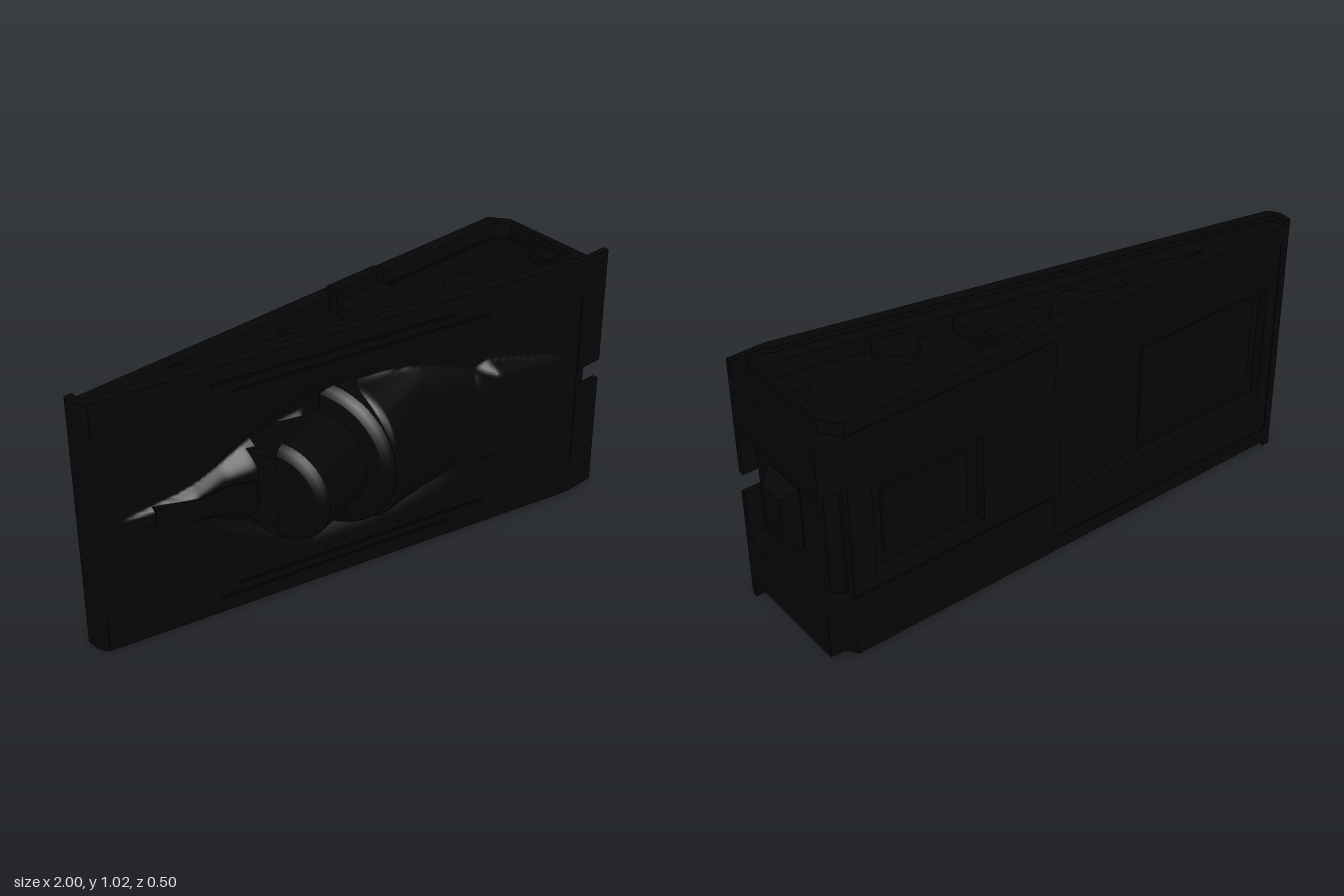
import * as THREE from 'three';

const MID = 0.5125; // height of the mirror plane

export function createModel() {
  const model = new THREE.Group();
  const black = new THREE.MeshStandardMaterial({ color: 0x050505 });
  black.name = 'matt black';

  const add = (name, geometry) => {
    const mesh = new THREE.Mesh(geometry, black);
    mesh.name = name;
    model.add(mesh);
    return mesh;
  };
  const box = (name, x0, x1, y0, y1, z0, z1) =>
    add(name, new THREE.BoxGeometry(x1 - x0, y1 - y0, z1 - z0)
      .translate((x0 + x1) / 2, (y0 + y1) / 2, (z0 + z1) / 2));
  const toPoints = (list, sign) => list.map(([a, b]) => new THREE.Vector2(a, sign * b));
  const rect = (Kind, x0, x1, y0, y1) => new Kind(toPoints([[x0, y0], [x1, y0], [x1, y1], [x0, y1]], 1));

  // Upright prism from an (x, z) outline
  const prism = (name, outline, y0, y1, hole) => {
    const shape = new THREE.Shape(toPoints(outline, -1));
    if (hole) shape.holes.push(new THREE.Path(toPoints(hole, -1)));
    const geometry = new THREE.ExtrudeGeometry(shape, { depth: y1 - y0, bevelEnabled: false });
    return add(name, geometry.rotateX(-Math.PI / 2).translate(0, y0, 0));
  };
  // The same builder called for both the top and the bottom side
  const bothSides = (build) => {
    build((a, b) => [MID + a, MID + b]);
    build((a, b) => [MID - b, MID - a]);
  };

  // Wedge core and side frames around the pockets
  prism('wedgeCore', [[-0.97, -0.21], [0.9, -0.21], [0.94, -0.18], [0.94, 0.22],
    [0.88, 0.22], [0.85, 0.18], [-0.88, -0.2]], 0.093, 0.932);
  const frame = [[-0.975, -0.25], [0.89, -0.25], [0.94, -0.18], [0.94, 0.22], [0.85, 0.22], [-0.95, -0.175]];
  const pocket = [[0.8, 0.14], [0.91, 0.15], [0.91, -0.15], [0.87, -0.195], [-0.65, -0.195]];
  bothSides((span) => prism('sideFrame', frame, ...span(0.419, 0.478), pocket));

  // Lip at the thin end and the rims of the sloping front
  prism('thinEndLip', [[-1, -0.25], [-0.97, -0.25], [-0.97, -0.16], [-0.985, -0.17], [-1, -0.2]], 0.015, 1.01);
  bothSides((span) => {
    prism('frontRim', [[-0.975, -0.16], [-0.975, -0.2], [0.85, 0.2], [0.88, 0.22], [0.88, 0.243], [0.85, 0.24]],
      ...span(0.3625, 0.4975));
    box('frontCorner', 0.88, 1, ...span(0.04, 0.4975), 0.22, 0.243);
  });

  // Sloping front: a dish around the barrel, with fairings and the barrel tail swelling out
  const baseZ = (x) => Math.min(0.241, 0.24 + (x - 0.85) * 0.2194);
  const lerpAt = (list, x) => {
    for (let i = 1; i < list.length; i++) {
      const [a, b] = [list[i - 1], list[i]];
      if (x <= b[0]) return THREE.MathUtils.lerp(a[1], b[1], Math.max(0, (x - a[0]) / (b[0] - a[0])));
    }
    return list[list.length - 1][1];
  };
  const soft = (inner) => (t) => 1 - THREE.MathUtils.smoothstep(t, inner, 1);
  const arch = (t) => Math.sqrt(Math.max(0, 1 - t ** 3));
  const bumps = [
    { x0: -0.92, x1: -0.2, fall: soft(0.3), // thin end
      ridge: [[-0.92, -0.15], [-0.65, -0.05], [-0.53, -0.043], [-0.44, -0.008], [-0.2, 0.03]],
      width: [[-0.92, 0.05], [-0.7, 0.1], [-0.44, 0.22], [-0.2, 0.28]] },
    { x0: -0.1, x1: 0.455, fall: arch, // barrel tail
      ridge: [[-0.1, 0.09], [-0.03, 0.24], [0.22, 0.17], [0.46, 0.17]],
      width: [[-0.1, 0.275], [0.22, 0.275], [0.46, 0.215]] },
    { x0: 0.44, x1: 0.88, fall: soft(0.6), // thick end
      ridge: [[0.44, 0.16], [0.45, 0.17], [0.49, 0.22], [0.85, 0.241]],
      width: [[0.44, 0.28], [0.88, 0.17]] },
  ];
  const dishDepth = [[-0.65, 0], [-0.4, 0.05], [0, 0.05], [0.3, 0.025], [0.45, 0]];
  const dishWidth = [[-0.65, 0.1], [-0.2, 0.35], [0.1, 0.35], [0.45, 0.28]];
  const front = new THREE.PlaneGeometry(1.855, 0.725, 160, 96).translate(-0.0475, MID, 0);
  const p = front.attributes.position;
  for (let i = 0; i < p.count; i++) {
    const x = p.getX(i);
    const away = Math.abs(p.getY(i) - MID);
    let z = baseZ(x) - lerpAt(dishDepth, x) * soft(0.6)(away / lerpAt(dishWidth, x));
    for (const { x0, x1, fall, ridge, width } of bumps) {
      if (x < x0 || x > x1) continue;
      const low = baseZ(x) - 0.08;
      z = Math.max(z, low + (lerpAt(ridge, x) - low) * fall(away / lerpAt(width, x)));
    }
    p.setZ(i, z);
  }
  front.computeVertexNormals();
  add('slopingFront', front);

  // Tilted stepped barrel, a half round facing forward
  const profile = [[0, -0.005], [0.155, -0.005], [0.182, 0.008], [0.191, 0.026], [0.192, 0.26],
    [0.25, 0.267], [0.273, 0.28], [0.283, 0.301], [0.283, 0.6]];
  const barrel = new THREE.Group();
  barrel.name = 'barrel';
  for (const [from, to] of [[0, 2], [1, 4], [3, 5], [4, 6], [5, 8], [7, 9]]) {
    const section = new THREE.LatheGeometry(toPoints(profile.slice(from, to), 1), 24,
      0.291 - Math.PI / 2, Math.PI);
    const mesh = new THREE.Mesh(section, black);
    mesh.name = 'barrelSection';
    barrel.add(mesh);
  }
  barrel.quaternion.setFromUnitVectors(new THREE.Vector3(0, 1, 0),
    new THREE.Vector3(0.958, 0, -0.287).normalize());
  barrel.position.set(-0.4, MID, 0.06);
  model.add(barrel);
  prism('barrelSkirt', [[-0.39, 0.06], [-0.13, -0.021], [-0.13, -0.1], [-0.41, -0.1]], MID - 0.188, MID + 0.188);
  prism('barrelNose', [[-0.4, 0.06], [-0.3, 0.03], [-0.3, -0.1], [-0.44, -0.1], [-0.43, -0.01]],
    MID - 0.14, MID + 0.14);

  // Narrow tongue at the thin end and fine ribs along the edges
  prism('tongue', [[-0.79, -0.14], [-0.79, -0.098], [-0.65, -0.043], [-0.53, -0.038],
    [-0.44, -0.004], [-0.44, -0.08]], MID - 0.04, MID + 0.04);
  bothSides((span) => {
    for (const [offset, x0, x1] of [[0.39, -0.5, 0.5], [0.43, -0.57, 0.35]]) {
      const [y0, y1] = span(offset, offset + 0.008);
      const rib = new THREE.BoxGeometry(x1 - x0, y1 - y0, 0.01);
      rib.rotateY(-Math.atan(0.2194)).translate((x0 + x1) / 2, (y0 + y1) / 2, baseZ((x0 + x1) / 2));
      add('edgeRib', rib);
    }
  });

  // Back panel with two recesses
  const back = rect(THREE.Shape, -0.97, 0.89, 0.09, 0.935);
  back.holes.push(rect(THREE.Path, 0.36, 0.8, 0.33, 0.69), rect(THREE.Path, -0.92, 0.03, 0.27, 0.75));
  add('backPanel', new THREE.ExtrudeGeometry(back, { depth: 0.038, bevelEnabled: false })
    .translate(0, 0, -0.247));
  box('recessPlate', 0.41, 0.75, 0.38, 0.64, -0.222, -0.2);
  box('recessPlate', -0.88, -0.35, 0.3, 0.72, -0.22, -0.2);

  // Rails wrapping round the thick end, side bands, and details in the side pockets
  bothSides((span) => {
    box('backRail', 0.06, 1, ...span(0.23, 0.428), -0.252, -0.19);
    box('endRail', 0.9, 1, ...span(0.23, 0.428), -0.252, 0.225);
    box('sideBand', 0.06, 0.28, ...span(0.4, 0.5125), -0.21, -0.16);
    box('pocketBlock', 0.06, 0.28, ...span(0.4, 0.47), -0.165, 0.056);
    box('pocketTab', 0.84, 0.93, ...span(0.4, 0.45), 0.01, 0.095);
    for (const [x, z, r] of [[-0.1, -0.165, 0.09], [0.5, 0.03, 0.08]]) {
      const [y0, y1] = span(0.4, 0.46);
      const boss = new THREE.CylinderGeometry(r, r, y1 - y0, 32, 1, false, -Math.PI / 2,
        z < -0.1 ? Math.PI : Math.PI * 2);
      add('pocketBoss', boss.translate(x, (y0 + y1) / 2, z));
    }
  });

  // Bevelled block on the thick end
  const end = rect(THREE.Shape, -0.13, 0.05, 0.39, 0.635);
  add('endBlock', new THREE.ExtrudeGeometry(end, { depth: 0.002, bevelEnabled: true,
    bevelThickness: 0.05, bevelSize: 0.04, bevelOffset: -0.04, bevelSegments: 1 })
    .rotateY(Math.PI / 2).translate(0.948, 0, 0));

  return model;
}
